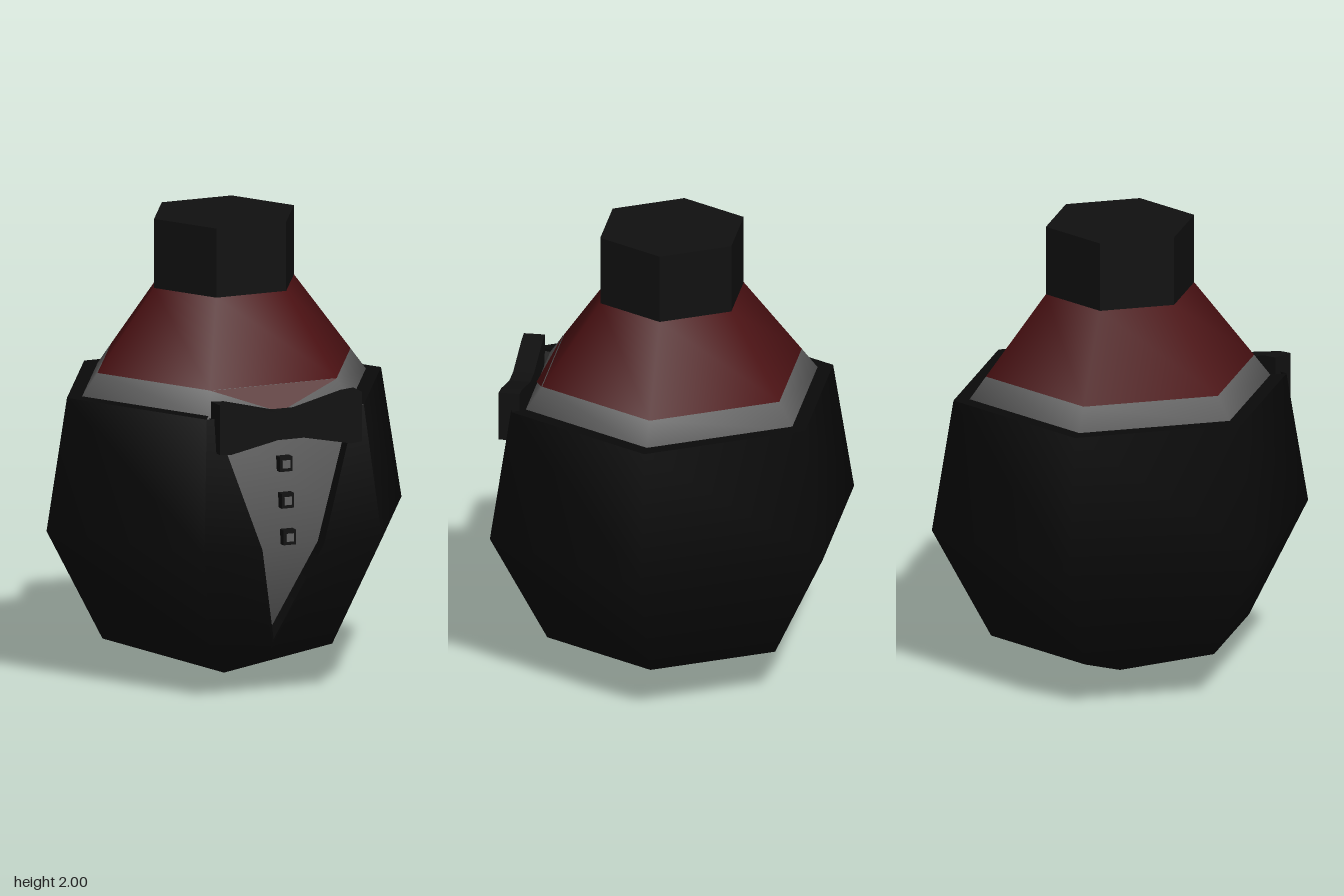
import * as THREE from 'three';
import { mergeVertices } from 'three/addons/utils/BufferGeometryUtils.js';

const COS30 = Math.cos(Math.PI / 6);
const mat = (name, color, side = THREE.FrontSide) => {
  const m = new THREE.MeshStandardMaterial({ color, side });
  m.name = name;
  return m;
};

// [radius, height] rings of the six-sided jacket and shirt
const JACKET = [[0, 0], [0.565, 0.2], [0.825, 0.69], [0.73, 1.26]];
const SHIRT = [[0.49, 0.22], [0.75, 0.69], [0.667, 1.25], [0.588, 1.355]];
const COLLAR = [[0.588, 1.355], [0.325, 1.7]];

// Distance of a front face from the axis at height y
function frontZ(rings, y) {
  for (let i = 1; i < rings.length; i++) {
    const [r0, y0] = rings[i - 1], [r1, y1] = rings[i];
    if (y <= y1 || i === rings.length - 1) {
      return COS30 * (r0 + (r1 - r0) * (y - y0) / (y1 - y0));
    }
  }
}

// Six-sided shell with corners on the x axis; five sides leave the front open
function hexShell(rings, sides = 6) {
  const points = rings.map(([r, y]) => new THREE.Vector2(r, y));
  return new THREE.LatheGeometry(points, sides, Math.PI / 6, sides * Math.PI / 3);
}

// Fans of triangles from counter-clockwise polygons, repeated for both halves
function mirrored(polygons) {
  const pos = [];
  for (const s of [1, -1]) {
    for (const p of polygons) {
      for (let i = 1; i < p.length - 1; i++) {
        const tri = s > 0 ? [p[0], p[i], p[i + 1]] : [p[0], p[i + 1], p[i]];
        for (const [x, y, z] of tri) pos.push(s * x, y, z);
      }
    }
  }
  const g = new THREE.BufferGeometry();
  g.setAttribute('position', new THREE.Float32BufferAttribute(pos, 3));
  const merged = mergeVertices(g);
  merged.computeVertexNormals();
  return merged;
}

export function createModel() {
  const model = new THREE.Group();
  model.name = 'dressedBottle';
  const black = mat('jacket black', 0x0a0a0a, THREE.DoubleSide);
  const capBlack = mat('cap black', 0x101010);
  const red = mat('dark red', 0x4a1012, THREE.DoubleSide);
  const grey = mat('shirt grey', 0x626262);

  const add = (name, geometry, material, parent = model) => {
    const mesh = new THREE.Mesh(geometry, material);
    mesh.name = name;
    parent.add(mesh);
    return mesh;
  };

  // Shirt, sloping shoulder and cap
  add('shirt', hexShell(SHIRT), grey);
  add('shoulder', hexShell(COLLAR), red);
  const cap = new THREE.CylinderGeometry(0.325, 0.325, 0.3, 6, 1, false, Math.PI / 6).toNonIndexed();
  cap.computeVertexNormals();
  add('cap', cap, capBlack).position.y = 1.85;

  // Pointed red front below the shoulder
  const bib = (x, y) => [x, y, frontZ(SHIRT, y) + 0.004];
  add('shoulderPoint', mirrored([[bib(0, 1.25), bib(0.294, 1.355), bib(0, 1.355)]]), red);

  // Jacket: back and sides
  const jacket = new THREE.Group();
  jacket.name = 'jacket';
  model.add(jacket);
  add('jacketShell', hexShell(JACKET, 5), black, jacket);

  // Jacket front, cut away in a V
  const out = (x, y) => [x, y, frontZ(JACKET, y)];
  const inn = (x, y) => [x, y, frontZ(SHIRT, y) - 0.01];
  add('jacketFront', mirrored([
    [[0, 0, 0], out(0.2825, 0.2), out(0, 0.2)],
    [out(0, 0.2), out(0.2825, 0.2), out(0.4125, 0.69), out(0.143, 0.69), out(0, 0.25)],
    [out(0.143, 0.69), out(0.4125, 0.69), out(0.365, 1.26), out(0.33, 1.26)],
  ]), black, jacket);
  add('lapelEdges', mirrored([
    [out(0, 0.25), out(0.143, 0.69), inn(0.143, 0.69), inn(0, 0.25)],
    [out(0.143, 0.69), out(0.33, 1.26), inn(0.33, 1.25), inn(0.143, 0.69)],
  ]), black, jacket);

  // Flat rim between jacket and shirt
  const rim = new THREE.RingGeometry(0.65, 0.73, 5, 1, -Math.PI / 3, 5 * Math.PI / 3);
  rim.rotateX(-Math.PI / 2);
  rim.rotateY(-Math.PI / 6 + Math.PI / 6);
  add('jacketRim', rim, black, jacket).position.y = 1.26;

  // Bow tie
  const half = [[0.05, 1.27], [0.27, 1.325], [0.33, 1.33], [0.33, 1.115], [0.28, 1.11], [0.06, 1.155]];
  const outline = [...half, ...half.map(([x, y]) => [-x, y]).reverse()];
  const bow = new THREE.ExtrudeGeometry(
    new THREE.Shape(outline.map(([x, y]) => new THREE.Vector2(x, y))),
    { depth: 0.09, bevelEnabled: false });
  add('bowTie', bow, capBlack).position.z = 0.6;

  // Shirt buttons: dark square studs with a grey face
  for (const y of [1.035, 0.88, 0.725]) {
    const button = new THREE.Group();
    button.name = 'button';
    button.position.set(0, y, frontZ(SHIRT, y));
    model.add(button);
    add('buttonBase', new THREE.BoxGeometry(0.058, 0.064, 0.07), capBlack, button);
    add('buttonFace', new THREE.BoxGeometry(0.034, 0.034, 0.008), grey, button).position.z = 0.037;
  }
  return model;
}
